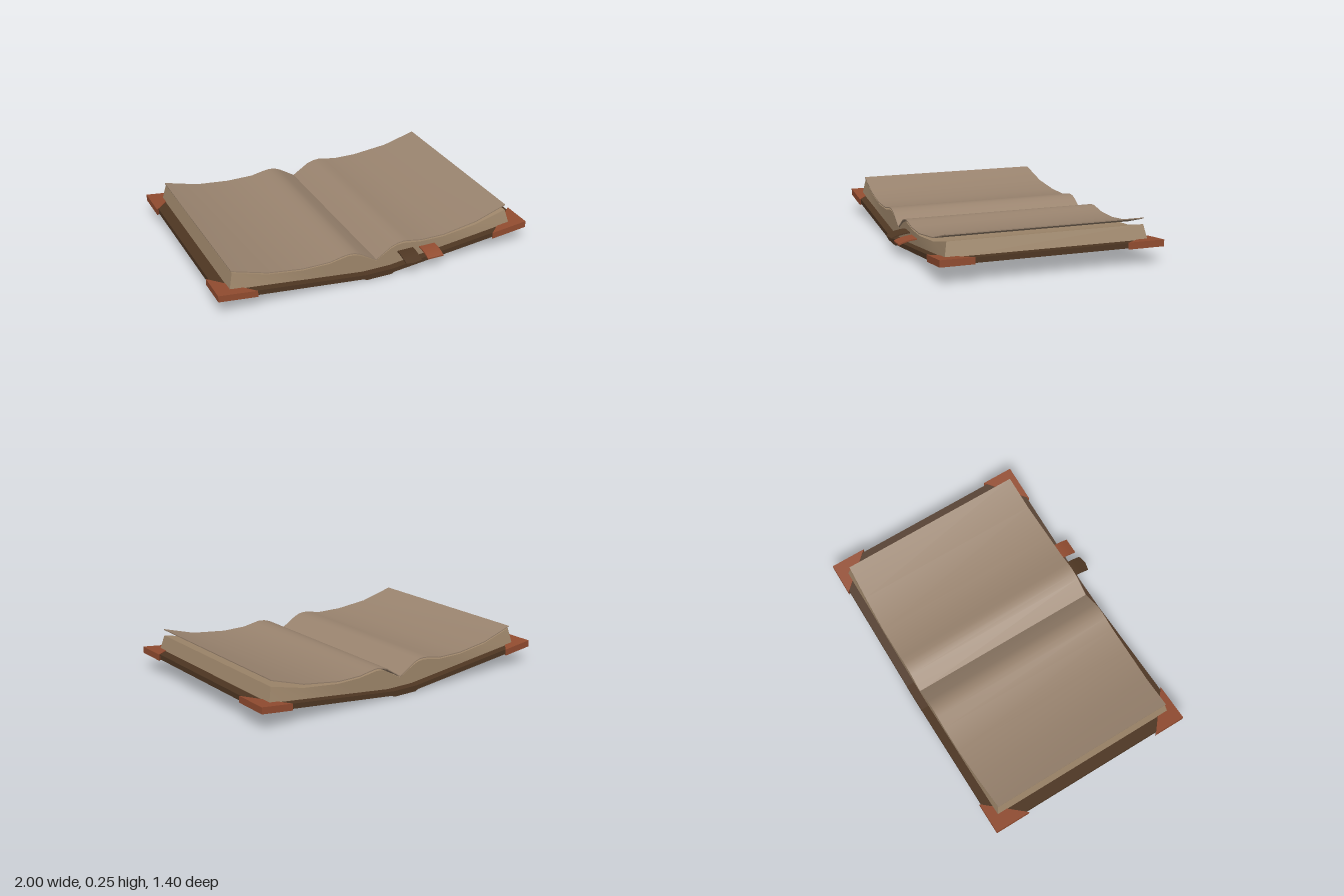
import * as THREE from 'three';
import { toCreasedNormals } from 'three/addons/utils/BufferGeometryUtils.js';

const material = (name, color, side = THREE.FrontSide) => {
  const m = new THREE.MeshStandardMaterial({ color, side });
  m.name = name;
  return m;
};

// Solid through four-cornered rings ordered along +x
function loft(rings) {
  const pos = [];
  const quad = (a, b, c, d) => pos.push(...a, ...b, ...c, ...a, ...c, ...d);
  for (let i = 0; i < rings.length - 1; i++) {
    const a = rings[i], b = rings[i + 1];
    for (let j = 0; j < 4; j++) {
      const k = (j + 1) % 4;
      quad(a[j], a[k], b[k], b[j]);
    }
  }
  const s = rings[0], e = rings[rings.length - 1];
  quad(e[0], e[1], e[2], e[3]);
  quad(s[3], s[2], s[1], s[0]);
  const g = new THREE.BufferGeometry();
  g.setAttribute('position', new THREE.Float32BufferAttribute(pos, 3));
  return toCreasedNormals(g, 0.6);
}

// Pages narrow slightly toward their outer edges
const taper = (x) => 0.018 * Math.max(0, (Math.abs(x) - 0.45) / 0.44);
const BACK = -0.64, FRONT = 0.575;
const coverTop = (x) => 0.035 + Math.max(0, Math.abs(x) - 0.09) * 0.1154;

export function createModel() {
  const book = new THREE.Group();
  book.name = 'openBook';
  const leather = material('darkLeather', 0x4f3723);
  const trim = material('redLeather', 0x924c30);
  const paper = material('paper', 0x9a846f);
  const edge = material('pageEdge', 0xa0886c);
  const add = (name, geometry, mat) => {
    const mesh = new THREE.Mesh(geometry, mat);
    mesh.name = name;
    book.add(mesh);
    return mesh;
  };

  // Cover: two sloping boards joined by a flat spine
  const half = [[0.08, 0], [0.1, 0.01], [0.985, 0.107], [0.985, 0.138], [0.09, 0.035]];
  const outline = [...half, ...half.map(([x, y]) => [-x, y]).reverse()];
  const coverShape = new THREE.Shape(outline.map(([x, y]) => new THREE.Vector2(x, y)));
  const cover = new THREE.ExtrudeGeometry(coverShape, { depth: 1.31, bevelEnabled: false });
  cover.translate(0, 0, -0.69);
  add('cover', cover, leather);

  // Corner guards: triangles sheared to follow the boards
  for (const sx of [-1, 1]) {
    for (const [z, dz, dx] of [[-0.7, 0.225, 0.2], [0.63, -0.2, 0.235]]) {
      const tri = new THREE.Shape([
        new THREE.Vector2(sx, z),
        new THREE.Vector2(sx * (1 - dx), z),
        new THREE.Vector2(sx, z + dz),
      ]);
      const g = new THREE.ExtrudeGeometry(tri, { depth: 0.04, bevelEnabled: false });
      g.rotateX(Math.PI / 2);
      const p = g.attributes.position;
      for (let i = 0; i < p.count; i++) p.setY(i, p.getY(i) + coverTop(p.getX(i)) + 0.004);
      g.computeVertexNormals();
      add((sx > 0 ? 'left' : 'right') + (z > 0 ? 'Front' : 'Back') + 'CornerGuard', g, trim);
    }
  }

  // Page block: splayed outer edges and a curved top
  const blockTop = [
    [-0.89, 0.224], [-0.68, 0.165], [-0.47, 0.141], [-0.3, 0.142], [-0.22, 0.157], [-0.18, 0.163],
    [-0.14, 0.159], [-0.1, 0.144], [0, 0.088], [0.1, 0.146], [0.14, 0.16], [0.18, 0.163],
    [0.22, 0.157], [0.3, 0.145], [0.45, 0.143], [0.68, 0.165], [0.89, 0.214],
  ];
  add('pageBlock', loft(blockTop.map(([x, y]) => {
    const xb = x * 0.913 / 0.89, yb = coverTop(xb) - 0.004, t = taper(x);
    return [[xb, yb, FRONT], [xb, yb, BACK], [x, y, BACK + t], [x, y, FRONT - t]];
  })), edge);

  // Top sheets lifting away from the block
  const sheets = {
    rightPage: [[-0.895, 0.24], [-0.68, 0.18], [-0.47, 0.156], [-0.3, 0.157], [-0.22, 0.174],
      [-0.18, 0.179], [-0.14, 0.176], [-0.1, 0.16], [0, 0.098]],
    leftPage: [[0, 0.098], [0.1, 0.163], [0.14, 0.176], [0.18, 0.181], [0.22, 0.175],
      [0.3, 0.161], [0.45, 0.16], [0.68, 0.19], [0.888, 0.253]],
  };
  for (const [name, points] of Object.entries(sheets)) {
    add(name, loft(points.map(([x, y]) => {
      const t = taper(x), f = FRONT + 0.003 - t, b = BACK - 0.003 + t;
      return [[x, y - 0.006, f], [x, y - 0.006, b], [x, y, b], [x, y, f]];
    })), paper);
  }

  // Ribbons drooping out of the front edge
  const ribbon = (name, x, y, end, tip, mat) => {
    const length = end - 0.5;
    const g = new THREE.BoxGeometry(0.104, 0.008, length, 2, 1, 8);
    g.translate(0, 0, 0.5 + length / 2);
    const p = g.attributes.position;
    for (let i = 0; i < p.count; i++) {
      const z = p.getZ(i), droop = 1.9 * Math.max(0, z - 0.57) ** 2;
      p.setY(i, p.getY(i) + y - droop);
      if (z > end - 0.001 && Math.abs(p.getX(i)) < 0.01) p.setZ(i, z + tip);
    }
    g.computeVertexNormals();
    add(name, g, mat).position.x = x;
  };
  ribbon('darkRibbon', 0.193, 0.115, 0.688, 0.012, leather);
  ribbon('redRibbon', 0.34, 0.11, 0.685, 0, trim);

  return book;
}
